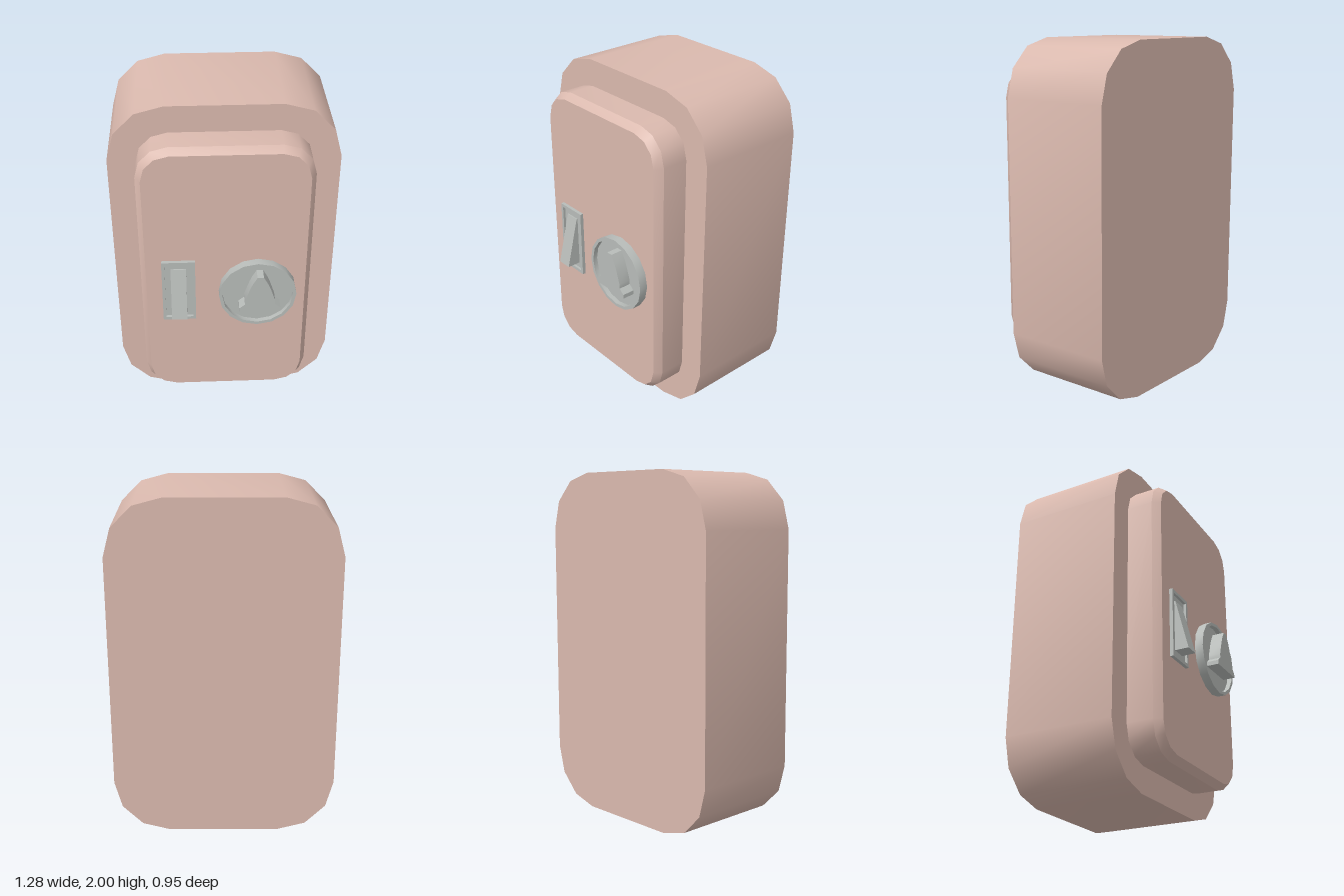
import * as THREE from 'three';
import { toCreasedNormals } from 'three/addons/utils/BufferGeometryUtils.js';

const CREASE = 0.55; // smooths the 30 degree corner facets, keeps rims sharp
const casing = new THREE.MeshStandardMaterial({ color: 0xdab9ae });
const metal = new THREE.MeshStandardMaterial({ color: 0xb8bcb9 });

// Rectangle outline with three-facet rounded corners
function roundedRect(halfW, halfH, r) {
  const points = [];
  for (let corner = 0; corner < 4; corner++) {
    const sx = corner === 0 || corner === 3 ? 1 : -1;
    const sy = corner < 2 ? 1 : -1;
    for (let i = 0; i <= 3; i++) {
      const a = (corner + i / 3) * Math.PI / 2;
      points.push(new THREE.Vector2(
        sx * (halfW - r) + r * Math.cos(a), sy * (halfH - r) + r * Math.sin(a)));
    }
  }
  return new THREE.Shape(points);
}

function rectPoints(halfW, halfH) {
  return [[-1, -1], [1, -1], [1, 1], [-1, 1]].map(([x, y]) => new THREE.Vector2(x * halfW, y * halfH));
}

function extrude(shape, depth, options = {}) {
  return new THREE.ExtrudeGeometry(shape, { depth, bevelEnabled: false, ...options });
}

function addPart(parent, name, geometry, material, x, y, z) {
  const mesh = new THREE.Mesh(toCreasedNormals(geometry, CREASE), material);
  mesh.name = name;
  mesh.position.set(x, y, z);
  parent.add(mesh);
}

export function createModel() {
  const model = new THREE.Group();
  model.name = 'alarmBox';

  // Deep casing and the chamfered panel set into its front
  addPart(model, 'casing', extrude(roundedRect(0.64, 1, 0.32), 0.66), casing, 0, 1, -0.48);
  addPart(model, 'frontPanel', extrude(roundedRect(0.485, 0.845, 0.18), 0.19, {
    bevelEnabled: true, bevelSegments: 1, bevelThickness: 0.045, bevelSize: 0.03, bevelOffset: -0.03,
  }), casing, 0, 1, 0.145);

  // Rocker switch: open frame, floor and wedge-shaped rocker
  const toggle = new THREE.Group();
  toggle.name = 'rockerSwitch';
  toggle.position.set(-0.27, 0.932, 0.38);
  model.add(toggle);
  const frame = new THREE.Shape(rectPoints(0.095, 0.207));
  frame.holes.push(new THREE.Path(rectPoints(0.078, 0.188)));
  addPart(toggle, 'switchFrame', extrude(frame, 0.02), metal, 0, 0, 0);
  addPart(toggle, 'switchFloor', new THREE.BoxGeometry(0.17, 0.39, 0.01), metal, 0, 0, 0);
  const wedge = new THREE.Shape([[0, -0.152], [0.087, -0.152], [0.012, 0.152], [0, 0.152]]
    .map(([z, y]) => new THREE.Vector2(z, y)));
  const rocker = extrude(wedge, 0.088).translate(0, 0, -0.044).rotateY(-Math.PI / 2);
  addPart(toggle, 'rocker', rocker, metal, 0, 0, 0);

  // Round push button with a raised rim and bell emblem
  const button = new THREE.Group();
  button.name = 'bellButton';
  button.position.set(0.18, 0.917, 0.38);
  model.add(button);
  const rim = [[0.222, 0], [0.222, 0.05], [0.203, 0.05], [0.203, 0.022], [0, 0.022]]
    .map(([r, h]) => new THREE.Vector2(r, h));
  addPart(button, 'buttonDish', new THREE.LatheGeometry(rim, 16).rotateX(Math.PI / 2), metal, 0, 0, 0);
  const half = [[0.118, -0.085], [0.118, -0.06], [0.086, -0.033], [0.086, -0.007],
    [0.06, 0.072], [0.045, 0.11], [0.018, 0.158]];
  const bell = new THREE.Shape([...half, ...half.map(([x, y]) => [-x, y]).reverse()]
    .map(([x, y]) => new THREE.Vector2(x, y)));
  addPart(button, 'bellEmblem', extrude(bell, 0.075), metal, 0.01, 0, 0.02);

  return model;
}
